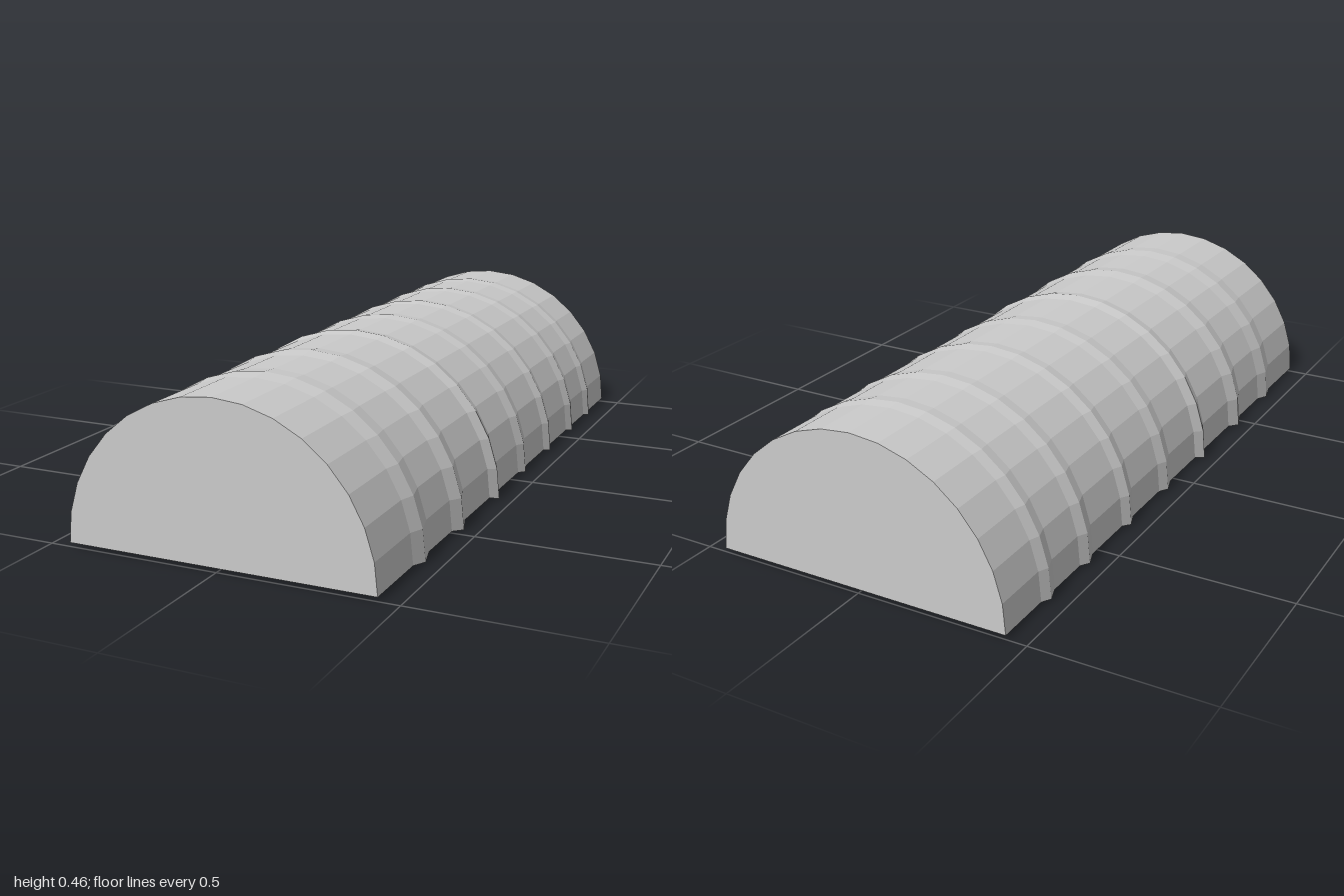
import * as THREE from 'three';

const SEGMENTS = 16;
const BASE_RADIUS = 0.441;
const BASE_Y = 0.012;

// Ribs: centre z, half width, peak radius
const RIBS = [
  [-0.79, 0.035, 0.451],
  [-0.58, 0.037, 0.452],
  [-0.33, 0.035, 0.453],
  [-0.08, 0.04, 0.452],
  [0.18, 0.037, 0.458],
  [0.465, 0.05, 0.457],
  [0.73, 0.053, 0.453],
];

// Half-circle section; larger sections also sink a little lower
function arch(z, radius) {
  const sink = (radius - BASE_RADIUS) * 0.65;
  return Array.from({ length: SEGMENTS + 1 }, (_, i) => {
    const a = (Math.PI * i) / SEGMENTS;
    return [radius * Math.cos(a), BASE_Y - sink + radius * Math.sin(a), z];
  });
}

export function createModel() {
  const group = new THREE.Group();
  group.name = 'ribbedHalfTunnel';
  const material = new THREE.MeshStandardMaterial({
    color: 0xcccccc, flatShading: true, side: THREE.DoubleSide,
  });

  // Sections from back to front
  const sections = [arch(-1, BASE_RADIUS)];
  for (const [z, half, peak] of RIBS) {
    sections.push(arch(z - half, BASE_RADIUS), arch(z, peak), arch(z + half, BASE_RADIUS));
  }
  sections.push(arch(1, BASE_RADIUS));

  // Curved shell, open underneath
  const row = SEGMENTS + 1;
  const index = [];
  for (let s = 0; s < sections.length - 1; s++) {
    for (let i = 0; i < SEGMENTS; i++) {
      const a = s * row + i, b = a + row;
      index.push(a, a + 1, b, b, a + 1, b + 1);
    }
  }
  const shellGeometry = new THREE.BufferGeometry();
  shellGeometry.setAttribute('position', new THREE.Float32BufferAttribute(sections.flat(2), 3));
  shellGeometry.setIndex(index);
  shellGeometry.computeVertexNormals();
  const shell = new THREE.Mesh(shellGeometry, material);
  shell.name = 'ribbedShell';
  group.add(shell);

  // Flat half-round end walls
  for (const side of [1, -1]) {
    const wall = new THREE.Mesh(new THREE.CircleGeometry(BASE_RADIUS, SEGMENTS, 0, Math.PI), material);
    wall.position.set(0, BASE_Y, side);
    if (side < 0) wall.rotation.y = Math.PI;
    wall.name = side > 0 ? 'frontWall' : 'backWall';
    group.add(wall);
  }
  return group;
}
